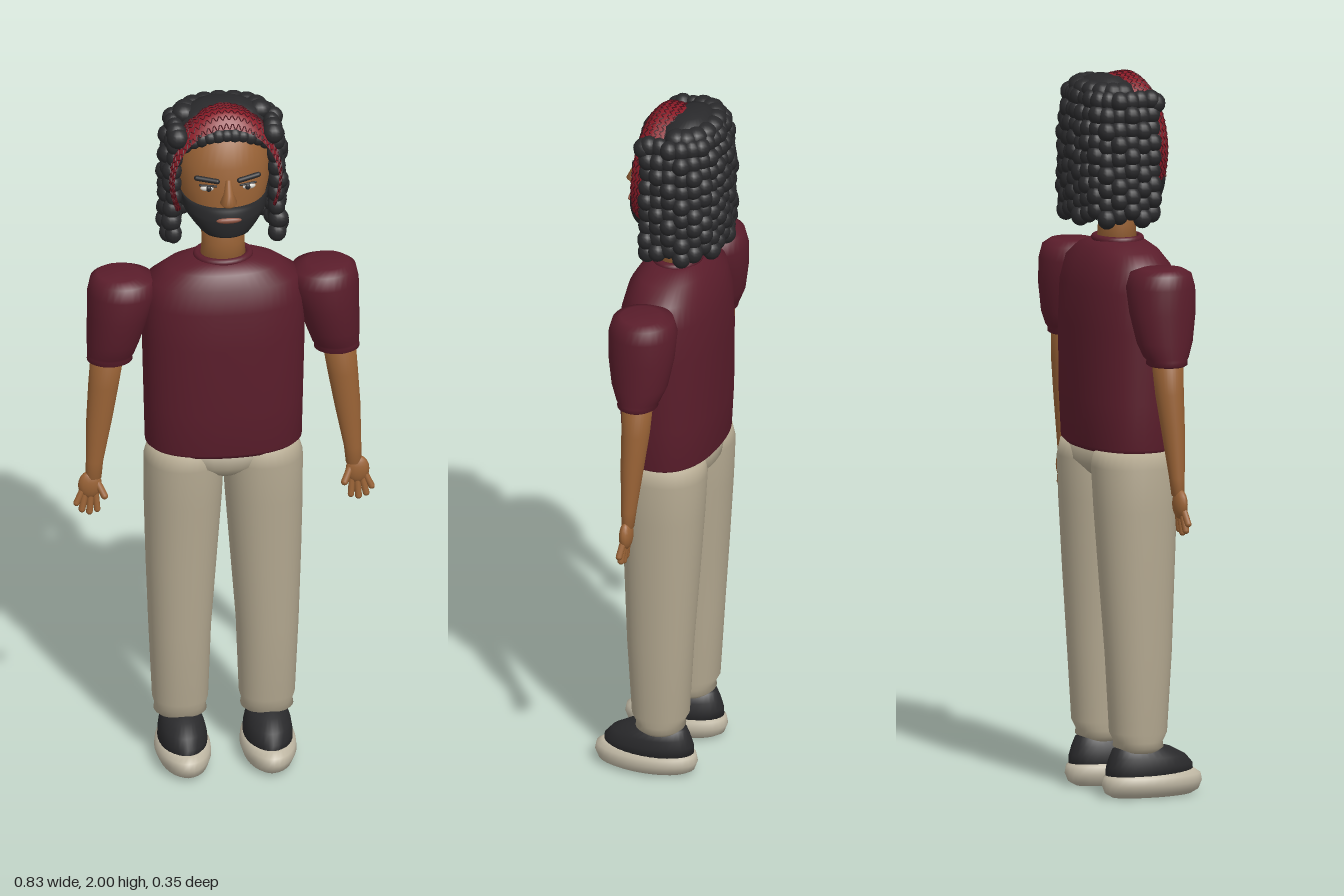
import * as THREE from 'three';
import { mergeGeometries } from 'three/addons/utils/BufferGeometryUtils.js';
import { ParametricGeometry } from 'three/addons/geometries/ParametricGeometry.js';

const mat = (name, color, side = THREE.FrontSide) => {
  const m = new THREE.MeshStandardMaterial({ color, side });
  m.name = name;
  return m;
};

// Smooth body from stacked rings [y, cx, cz, rx, rz], bottom to top; n > 2 squares the ring
function loft(rings, n = 2, seg = 32) {
  const pos = [], idx = [];
  const pw = (v) => Math.sign(v) * Math.abs(v) ** (2 / n);
  for (const [y, cx, cz, rx, rz] of rings)
    for (let j = 0; j < seg; j++) {
      const a = (j / seg) * Math.PI * 2;
      pos.push(cx + rx * pw(Math.cos(a)), y, cz + rz * pw(Math.sin(a)));
    }
  const last = rings.length - 1, bottom = rings.length * seg, top = bottom + 1;
  for (const r of [rings[0], rings[last]]) pos.push(r[1], r[0], r[2]);
  for (let j = 0; j < seg; j++) {
    const k = (j + 1) % seg;
    for (let i = 0; i < last; i++) {
      const a = i * seg + j, b = i * seg + k;
      idx.push(a, a + seg, b, b, a + seg, b + seg);
    }
    idx.push(bottom, j, k, top, last * seg + k, last * seg + j);
  }
  const g = new THREE.BufferGeometry();
  g.setAttribute('position', new THREE.Float32BufferAttribute(pos, 3));
  g.setIndex(idx);
  g.computeVertexNormals();
  return g;
}

const ball = (x, y, z, rx, ry = rx, rz = rx) =>
  new THREE.SphereGeometry(1, 14, 10).scale(rx, ry, rz).translate(x, y, z);

// Rounded rod between two points
function rod(a, b, r) {
  const p = new THREE.Vector3(...a), q = new THREE.Vector3(...b), d = q.clone().sub(p);
  const turn = new THREE.Quaternion().setFromUnitVectors(new THREE.Vector3(0, 1, 0), d.clone().normalize());
  const mid = p.add(q).multiplyScalar(0.5);
  return new THREE.CapsuleGeometry(r, d.length(), 5, 10).applyQuaternion(turn).translate(mid.x, mid.y, mid.z);
}

const HEAD = [
  [1.632, 0, 0.035, 0.03, 0.035], [1.645, 0, 0.022, 0.068, 0.072], [1.7, 0, -0.008, 0.107, 0.107],
  [1.78, 0, -0.015, 0.126, 0.115], [1.85, 0, -0.02, 0.127, 0.113], [1.92, 0, -0.025, 0.11, 0.095],
  [1.96, 0, -0.03, 0.07, 0.06],
];

// Point on the face at an angle from straight ahead, pushed out by off
function facePoint(angle, y, off, target) {
  let i = 0;
  while (i < HEAD.length - 2 && HEAD[i + 1][0] < y) i++;
  const t = (y - HEAD[i][0]) / (HEAD[i + 1][0] - HEAD[i][0]);
  const [cz, rx, rz] = [2, 3, 4].map((k) => THREE.MathUtils.lerp(HEAD[i][k], HEAD[i + 1][k], t));
  return target.set((rx + off) * Math.sin(angle), y, cz + (rz + off) * Math.cos(angle));
}

// Point on the headband: u runs ear to ear, w from back edge (-1) to front edge (1)
function bandPoint(u, w, off, target) {
  const a = THREE.MathUtils.lerp(-0.5, Math.PI + 0.5, u), s = Math.sin(a), up = Math.max(s, 0);
  const drop = w > 0 ? w * w : 0.15 * w * w;
  return target.set(
    (0.155 + off) * Math.cos(a) * (1 - 0.07 * drop),
    1.8 + (0.197 + off) * s * (1 - 0.2 * drop),
    0.035 - 0.025 * up + (0.03 + 0.02 * up) * w);
}

export function createModel() {
  const model = new THREE.Group();
  const skin = mat('skin', 0x9a6336), shirt = mat('maroon cloth', 0x5a1d2b), pants = mat('beige cloth', 0xb3a890);
  const black = mat('black hair and shoe', 0x29292b, THREE.DoubleSide), sole = mat('cream sole', 0xc2baa6);
  const red = mat('red knit', 0x8a1a26, THREE.DoubleSide), dark = mat('dark red yarn', 0x4a1019);
  const white = mat('eye white', 0xd8d4cc), lip = mat('lip', 0x8c5240);
  const add = (name, geo, material) => {
    const m = new THREE.Mesh(geo, material);
    m.name = name;
    model.add(m);
    return m;
  };

  // Shirt body, collar and hips
  add('shirt', loft([
    [0.96, 0, -0.018, 0.2, 0.118], [0.975, 0, -0.018, 0.216, 0.131], [1.1, 0, -0.018, 0.219, 0.138],
    [1.3, 0, -0.018, 0.224, 0.139], [1.41, 0, -0.018, 0.222, 0.134], [1.475, 0, -0.018, 0.208, 0.116],
    [1.512, 0, -0.018, 0.155, 0.092], [1.535, 0, -0.02, 0.085, 0.066],
  ], 2.3, 48), shirt);
  add('collar', new THREE.TorusGeometry(0.072, 0.011, 10, 36).rotateX(Math.PI / 2).scale(1, 1, 0.85)
    .translate(0, 1.536, -0.02), shirt);
  add('hips', loft([[0.885, 0, -0.02, 0.05, 0.08], [0.92, 0, -0.02, 0.16, 0.113],
    [0.98, 0, -0.02, 0.2, 0.118]], 2.2), pants);

  for (const s of [1, -1]) {
    const side = s > 0 ? 'left' : 'right';
    const limb = (rings, n) => loft(rings.map(([y, x, ...r]) => [y, x * s, ...r]), n);

    // Puffed sleeve with cuff
    add(side + 'Sleeve', limb([
      [1.225, 0.314, -0.02, 0.055, 0.048], [1.23, 0.314, -0.02, 0.063, 0.056], [1.242, 0.314, -0.02, 0.062, 0.055],
      [1.25, 0.311, -0.021, 0.065, 0.062], [1.29, 0.304, -0.022, 0.073, 0.078], [1.37, 0.29, -0.022, 0.086, 0.092],
      [1.44, 0.278, -0.022, 0.097, 0.095], [1.478, 0.279, -0.022, 0.088, 0.084], [1.492, 0.29, -0.022, 0.058, 0.058],
    ]), shirt);
    add(side + 'Arm', limb([
      [0.87, 0.36, -0.008, 0.022, 0.017], [0.92, 0.357, -0.01, 0.024, 0.021], [1.05, 0.343, -0.015, 0.036, 0.032],
      [1.15, 0.331, -0.02, 0.042, 0.039], [1.26, 0.318, -0.022, 0.047, 0.044],
    ]), skin);

    // Palm, four fingers and thumb
    const f = (x0, y0, x1, y1, r, z = 0) => rod([x0 * s, y0, -0.006], [x1 * s, y1, z], r);
    add(side + 'Hand', mergeGeometries([
      ball(0.37 * s, 0.848, -0.007, 0.033, 0.042, 0.018),
      f(0.388, 0.84, 0.408, 0.797, 0.009), f(0.382, 0.83, 0.393, 0.777, 0.0095),
      f(0.368, 0.83, 0.372, 0.769, 0.0095), f(0.355, 0.83, 0.351, 0.775, 0.009),
      f(0.352, 0.86, 0.332, 0.82, 0.01, 0.012),
    ]), skin);

    // Trouser leg with gathered ankle
    add(side + 'TrouserLeg', limb([
      [0.125, 0.12, -0.015, 0.056, 0.052], [0.14, 0.12, -0.015, 0.073, 0.068], [0.155, 0.12, -0.015, 0.07, 0.066],
      [0.18, 0.12, -0.015, 0.077, 0.079], [0.4, 0.121, -0.015, 0.086, 0.092], [0.6, 0.117, -0.018, 0.097, 0.103],
      [0.8, 0.112, -0.02, 0.107, 0.114], [0.92, 0.109, -0.02, 0.11, 0.12], [0.965, 0.106, -0.02, 0.1, 0.112],
    ], 2.15), pants);

    // Shoe
    add(side + 'Sole', limb([
      [0, 0.116, 0.028, 0.05, 0.118], [0.012, 0.117, 0.028, 0.068, 0.139], [0.035, 0.118, 0.028, 0.077, 0.148],
      [0.056, 0.118, 0.028, 0.075, 0.144], [0.07, 0.117, 0.026, 0.063, 0.126],
    ]), sole);
    add(side + 'ShoeUpper', limb([
      [0.05, 0.118, 0.02, 0.068, 0.13], [0.085, 0.118, 0.02, 0.067, 0.128], [0.11, 0.119, 0.013, 0.062, 0.113],
      [0.134, 0.119, -0.004, 0.052, 0.085], [0.147, 0.12, -0.015, 0.032, 0.05],
    ]), black);

    // Eye and brow
    add(side + 'Eye', ball(0.055 * s, 1.795, 0.085, 0.022, 0.009, 0.01), white);
    add(side + 'Iris', ball(0.054 * s, 1.795, 0.092, 0.008, 0.0085, 0.005), black);
    add(side + 'UpperLid', rod([0.034 * s, 1.803, 0.095], [0.077 * s, 1.803, 0.082], 0.003), black);
    add(side + 'Brow', rod([0.031 * s, 1.818, 0.095], [0.085 * s, 1.822, 0.075], 0.0075), black);
  }

  // Neck, head and nose
  add('neck', loft([[1.51, 0, -0.022, 0.064, 0.054], [1.58, 0, -0.022, 0.059, 0.05], [1.68, 0, -0.02, 0.064, 0.056]]), skin);
  add('head', loft(HEAD, 2, 40), skin);
  add('nose', loft([[1.742, 0, 0.1, 0.016, 0.014], [1.754, 0, 0.1, 0.024, 0.03], [1.78, 0, 0.097, 0.014, 0.02],
    [1.82, 0, 0.092, 0.008, 0.008]], 2, 16), skin);

  // Beard wraps the jaw, thick in the middle
  add('beard', new ParametricGeometry((u, v, p) => {
    const a = (u - 0.5) * 2.7, far = Math.abs(2 * u - 1);
    const y = THREE.MathUtils.lerp(1.633 + 0.025 * far ** 3, 1.738 + 0.015 * far ** 4, v);
    facePoint(a, y, 0.002 + 0.013 * Math.sqrt(Math.max(0, Math.sin(Math.PI * v))) * (1 - 0.6 * far ** 3), p);
  }, 40, 12), black);
  add('lips', ball(0, 1.703, 0.11, 0.036, 0.009, 0.009), lip);

  // Hair core under the locks
  add('hairCore', loft([
    [1.65, 0, -0.075, 0.09, 0.055], [1.7, 0, -0.065, 0.135, 0.083], [1.85, 0, -0.062, 0.145, 0.092],
    [1.93, 0, -0.062, 0.135, 0.088], [1.972, 0, -0.06, 0.1, 0.07], [1.99, 0, -0.06, 0.05, 0.035],
  ]), black);

  // Beaded locks hang around the sides and back
  const rim = new THREE.CatmullRomCurve3([[0.145, 0.016], [0.153, -0.05], [0.122, -0.118], [0, -0.148],
    [-0.122, -0.118], [-0.153, -0.05], [-0.145, 0.016]].map(([x, z]) => new THREE.Vector3(x, 0, z)));
  const beads = [];
  rim.getSpacedPoints(16).forEach((p, i) => {
    const low = 1.612 + 0.012 * ((i * 7) % 3);
    for (let k = 0; k < 9; k++) {
      const y = THREE.MathUtils.lerp(low, 1.935, k / 8), wob = Math.sin(i * 2.3 + k * 1.9);
      const pull = 1 - 0.1 * (k / 8) ** 5 + 0.025 * wob;
      beads.push(ball(p.x * pull, y, p.z * (p.z < 0 ? pull : 1), 0.026 + 0.003 * wob, 0.029, 0.026));
    }
  });
  add('locks', mergeGeometries(beads), black);

  // Crown curls behind the band and small curls along the hairline
  const curls = [];
  for (let i = 0; i < 9; i++) {
    const a = (i / 8) * Math.PI;
    curls.push(ball(0.105 * Math.cos(a), 1.957, -0.055 - 0.065 * Math.sin(a), 0.033, 0.027, 0.031));
  }
  for (let i = -5; i <= 5; i++) {
    const t = i / 5;
    curls.push(ball(0.112 * t, 1.938 - 0.035 * t * t, 0.052 - 0.02 * t * t, 0.021, 0.02 + 0.003 * (i & 1), 0.021));
  }
  for (const s of [1, -1]) curls.push(ball(0.132 * s, 1.925, 0.03, 0.03));
  add('curls', mergeGeometries(curls), black);

  // Knitted headband with zigzag yarn rows
  add('headband', new ParametricGeometry((u, v, p) => bandPoint(u, 2 * v - 1, 0, p), 60, 10), red);
  const rows = [];
  for (let r = 0; r < 6; r++) {
    const pts = [];
    for (let i = 0; i <= 72; i++)
      pts.push(bandPoint(i / 72, -0.85 + r * 0.33 + (i % 2) * 0.2, 0.0005, new THREE.Vector3()));
    rows.push(new THREE.TubeGeometry(new THREE.CatmullRomCurve3(pts), 216, 0.0018, 4));
  }
  add('headbandYarn', mergeGeometries(rows), dark);

  return model;
}
